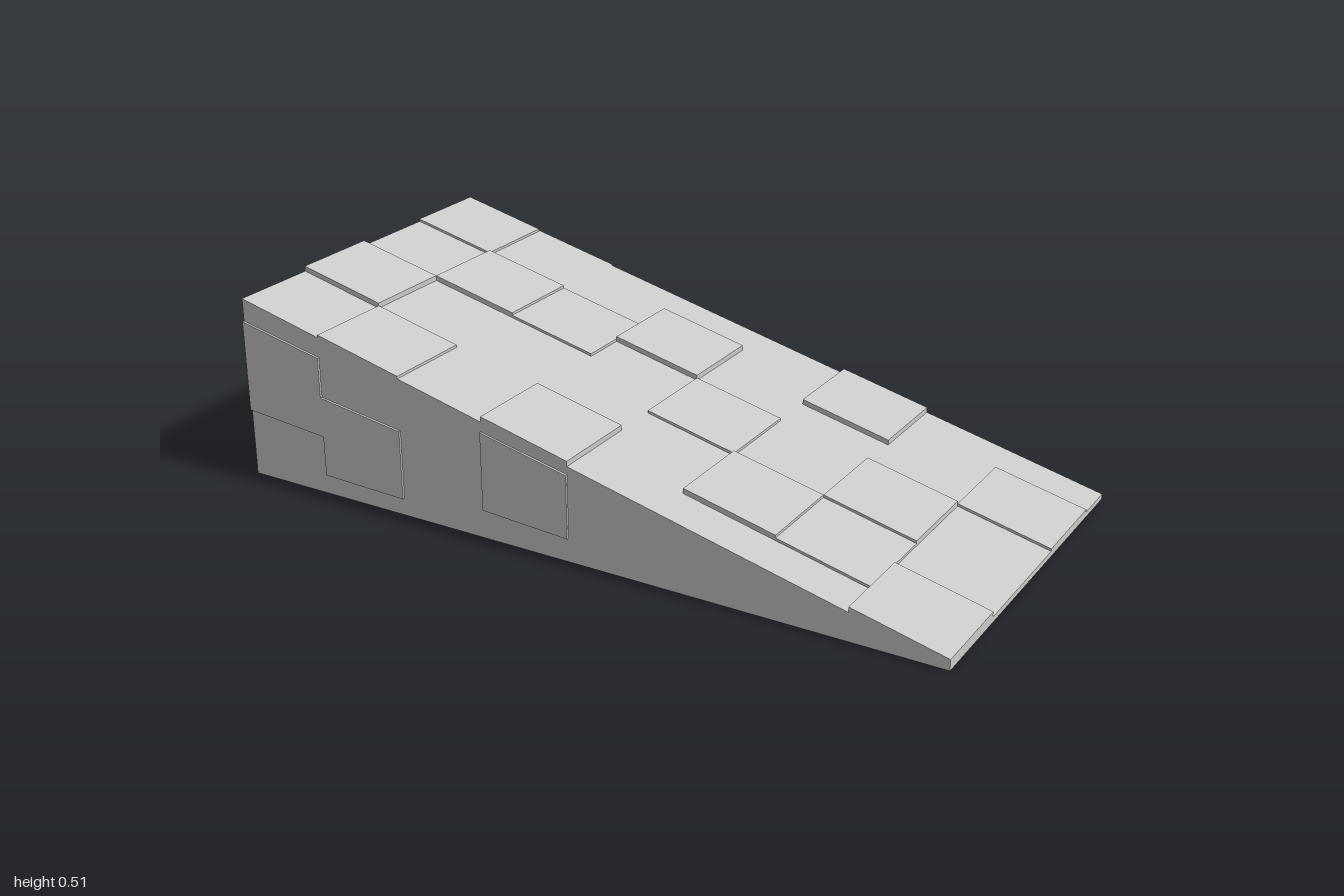
import * as THREE from 'three';

const BACK = -0.995, HALF = 0.497, STEP = 0.25;
const slope = (x) => 0.256 - 0.241 * x; // height of the ramp surface at x

const material = new THREE.MeshStandardMaterial({ color: 0xcccccc, flatShading: true });

// Extrudes an outline in the xy plane from z0 to z1
function prism(name, points, z0, z1) {
  const shape = new THREE.Shape(points.map(([x, y]) => new THREE.Vector2(x, y)));
  const geometry = new THREE.ExtrudeGeometry(shape, { depth: z1 - z0, bevelEnabled: false });
  geometry.translate(0, 0, z0);
  const mesh = new THREE.Mesh(geometry, material);
  mesh.name = name;
  return mesh;
}

// Outline between two heights given as functions of x
const band = (x0, x1, low, high) => [[x0, low(x0)], [x1, low(x1)], [x1, high(x1)], [x0, high(x0)]];

export function createModel() {
  const model = new THREE.Group();
  model.name = 'ramp';

  // Solid wedge
  model.add(prism('rampBody', band(BACK, 1, () => 0, slope), -HALF, HALF));

  // Raised slabs on the slope: start x, start z, thickness
  const thin = 0.007, thick = 0.014;
  const slabs = [
    [-1, 0, thick], [-1, -0.5, thin], [-0.75, 0.25, thin], [-0.75, -0.25, thick],
    [-0.5, -0.25, thin], [-0.25, 0.25, thick], [-0.25, -0.375, thick], [0, -0.125, thin],
    [0.25, 0.125, thick], [0.25, -0.5, thick], [0.5, 0.125, thin], [0.5, -0.125, thick],
    [0.75, 0.25, thick], [0.75, -0.375, thin],
  ];
  const surface = new THREE.Group();
  surface.name = 'slopeSlabs';
  for (const [x, z, t] of slabs) {
    const outline = band(Math.max(x, BACK), x + STEP, slope, (v) => slope(v) + t);
    surface.add(prism('slopeSlab', outline, Math.max(z, -HALF), Math.min(z + STEP, HALF)));
  }
  model.add(surface);

  // Side panels: side, start x, lower and upper edge as fractions of the wall height
  const panels = [
    [1, -1, 3 / 8, 7 / 8], [1, -0.75, 1 / 8, 5 / 8], [1, -0.25, 1 / 4, 11 / 12],
    [-1, -1, 0, 1 / 2], [-1, -1, 1 / 2, 1], [-1, -0.75, 1 / 2, 1], [-1, -0.25, 1 / 12, 3 / 4],
  ];
  const sides = new THREE.Group();
  sides.name = 'sidePanels';
  for (const [side, x, low, high] of panels) {
    const outline = band(Math.max(x, BACK), x + STEP, (v) => low * slope(v), (v) => high * slope(v));
    const t = side < 0 && low === 0 ? 0.004 : 0.006;
    sides.add(prism('sidePanel', outline, side > 0 ? HALF : -HALF - t, side > 0 ? HALF + t : -HALF));
  }
  model.add(sides);

  // Panels on the tall end wall: start z, lower y
  const end = new THREE.Group();
  end.name = 'endPanels';
  for (const [z, y] of [[-0.375, 0.25], [-0.25, 0], [0.125, 0.19]]) {
    end.add(prism('endPanel', band(-1, BACK, () => y, () => y + 0.19), z, z + STEP));
  }
  model.add(end);

  return model;
}
